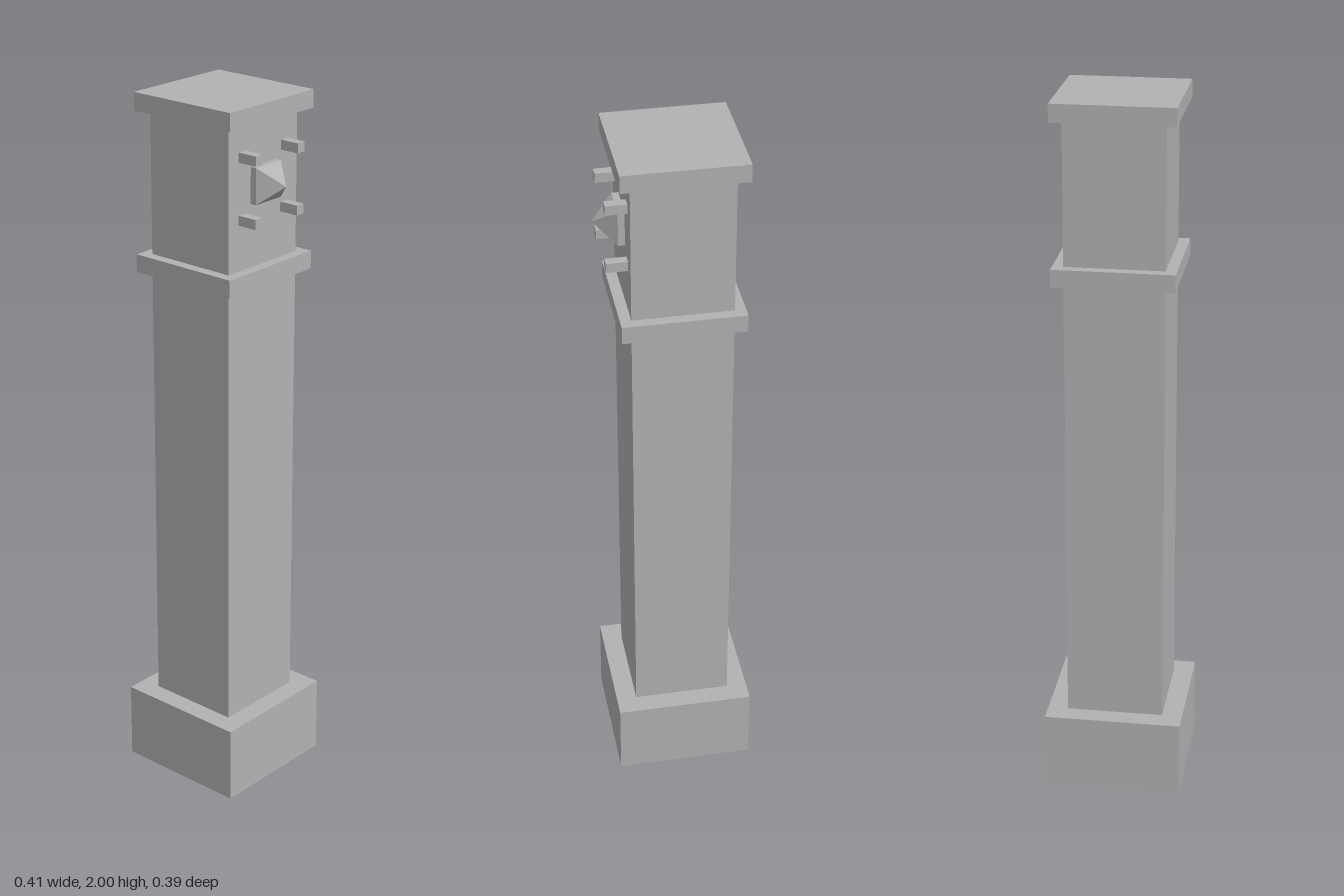
import * as THREE from 'three';

export function createModel() {
  const model = new THREE.Group();
  model.name = 'squarePillar';
  const stone = new THREE.MeshStandardMaterial({ color: 0xb2b2b2, flatShading: true });
  stone.name = 'grey stone';

  const axisX = -0.012; // pillar axis, shifted to leave room for the spike
  const faceX = 0.124; // side face that carries the spike and pegs

  const add = (name, geometry, x, y, z, parent = model) => {
    const mesh = new THREE.Mesh(geometry, stone);
    mesh.name = name;
    mesh.position.set(x, y, z);
    parent.add(mesh);
  };

  // Square blocks stacked on the axis: name, width, bottom, top
  for (const [name, width, bottom, top] of [
    ['base', 0.389, 0, 0.22],
    ['shaft', 0.274, 0.22, 1.95],
    ['collar', 0.334, 1.505, 1.555],
    ['cap', 0.334, 1.95, 2],
  ]) {
    add(name, new THREE.BoxGeometry(width, top - bottom, width), axisX, (bottom + top) / 2, -0.001);
  }

  // Pyramid spike on a square mount
  const fitting = new THREE.Group();
  fitting.name = 'sideFitting';
  fitting.position.set(faceX, 1.78, -0.001);
  model.add(fitting);
  add('spikeMount', new THREE.BoxGeometry(0.02, 0.1, 0.1), 0.009, 0, 0, fitting);
  const spike = new THREE.ConeGeometry(0.05 * Math.SQRT2, 0.061, 4);
  spike.rotateY(Math.PI / 4).rotateZ(-Math.PI / 2);
  add('spike', spike, 0.0495, 0, 0, fitting);

  // Four pegs around the spike
  for (const sy of [-1, 1]) {
    for (const sz of [-1, 1]) {
      add('peg', new THREE.BoxGeometry(0.06, 0.027, 0.027), 0.029, sy * 0.0845, sz * 0.0845, fitting);
    }
  }
  return model;
}
